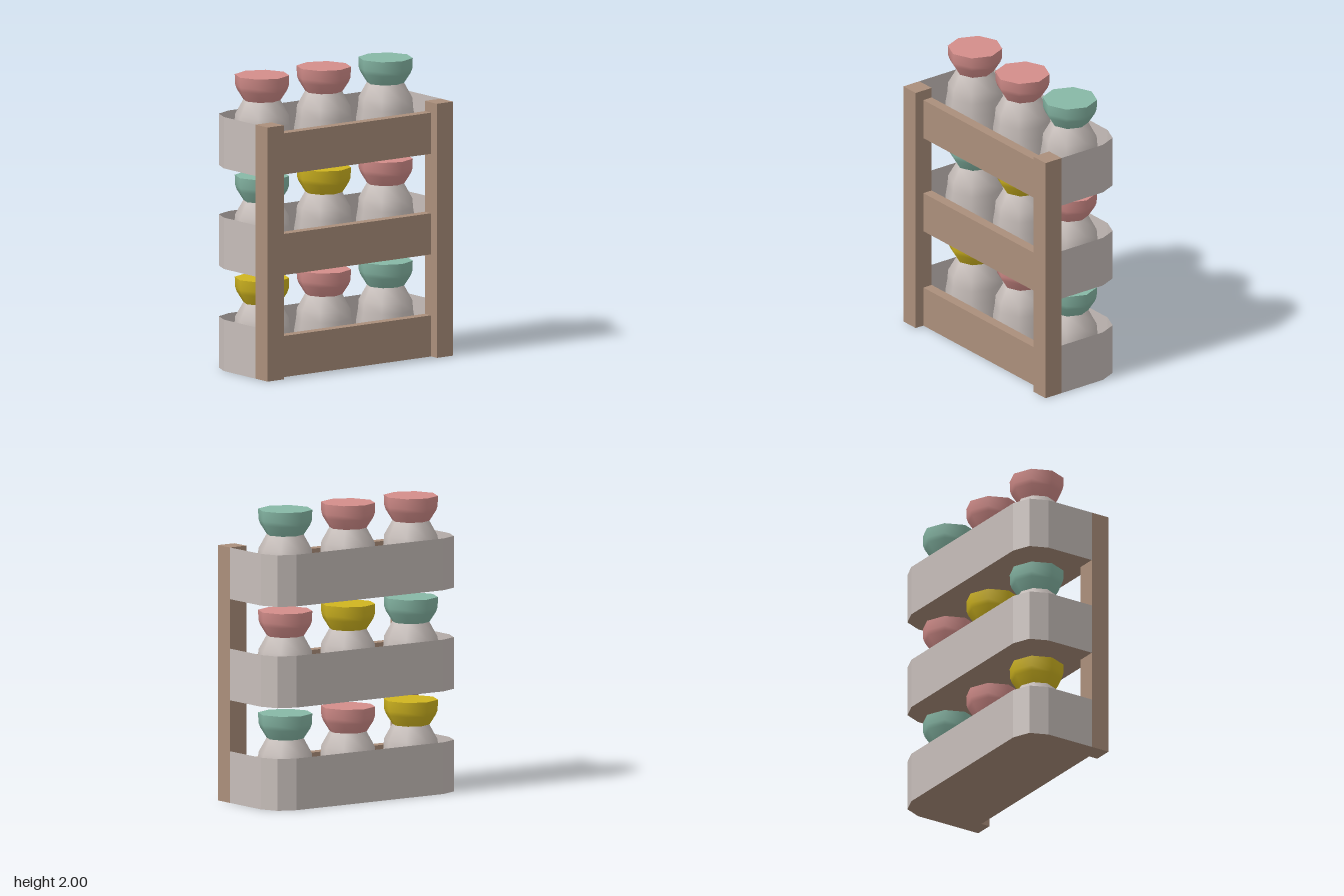
import * as THREE from 'three';
import { toCreasedNormals } from 'three/addons/utils/BufferGeometryUtils.js';

const mat = (name, color, side = THREE.FrontSide) => {
  const m = new THREE.MeshStandardMaterial({ color, side });
  m.name = name;
  return m;
};

export function createModel() {
  const group = new THREE.Group();
  const wood = mat('wood brown', 0xab8f7b, THREE.DoubleSide);
  const grey = mat('warm grey', 0xc6bdb9, THREE.DoubleSide);
  const pink = mat('dusty pink', 0xd48e8b);
  const teal = mat('soft teal', 0x87b8a6);
  const yellow = mat('mustard yellow', 0xd0b520);

  const add = (name, geometry, material, x = 0, y = 0, z = 0, parent = group) => {
    const mesh = new THREE.Mesh(geometry, material);
    mesh.name = name;
    mesh.position.set(x, y, z);
    parent.add(mesh);
    return mesh;
  };
  const lathe = (pts) => toCreasedNormals(
    new THREE.LatheGeometry(pts.map(([r, y]) => new THREE.Vector2(r, y)), 8), 0.9);

  // Shelf outline in x, z: open towards the posts, chamfered at the far corners
  const half = [[0.19, 0.78], [-0.16, 0.78], [-0.28, 0.73], [-0.33, 0.61]];
  const outline = [...half, ...half.map(([x, z]) => [x, -z]).reverse()];

  // Thin band standing on the outline
  const bandHeight = 0.35;
  const pos = [];
  for (let i = 0; i < outline.length - 1; i++) {
    const [ax, az] = outline[i], [bx, bz] = outline[i + 1];
    pos.push(ax, 0, az, bx, bandHeight, bz, bx, 0, bz);
    pos.push(ax, 0, az, ax, bandHeight, az, bx, bandHeight, bz);
  }
  const bandGeo = new THREE.BufferGeometry();
  bandGeo.setAttribute('position', new THREE.Float32BufferAttribute(pos, 3));
  bandGeo.computeVertexNormals();

  // Flat shelf floor
  const floorGeo = new THREE.ShapeGeometry(
    new THREE.Shape(outline.map(([x, z]) => new THREE.Vector2(x, -z))));
  floorGeo.rotateX(-Math.PI / 2);

  // Eight-sided jar and flared lid
  const jarGeo = lathe([[0.2, 0], [0.2, 0.2], [0.187, 0.28], [0.181, 0.35], [0.125, 0.45]]);
  const lidGeo = lathe([[0.125, 0.45], [0.17, 0.52], [0.181, 0.55], [0.184, 0.62], [0, 0.62]]);

  // Lid colours per shelf, ordered from +z to -z
  const shelves = [
    { y: 0, lids: [yellow, pink, teal] },
    { y: 0.695, lids: [teal, yellow, pink] },
    { y: 1.38, lids: [pink, pink, teal] },
  ];
  const railGeo = new THREE.BoxGeometry(0.07, 0.28, 1.29);
  for (const { y, lids } of shelves) {
    const shelf = new THREE.Group();
    shelf.name = 'shelf';
    shelf.position.y = y;
    group.add(shelf);
    add('shelfFloor', floorGeo, wood, 0, 0, 0, shelf);
    add('shelfBand', bandGeo, grey, 0, 0, 0, shelf);
    add('rail', railGeo, wood, 0.225, 0.14, 0, shelf);
    lids.forEach((lid, i) => {
      const z = 0.52 * (1 - i);
      add('jar', jarGeo, grey, -0.08, 0.002, z, shelf);
      add('lid', lidGeo, lid, -0.08, 0, z, shelf);
    });
  }

  // Two upright posts
  const postGeo = new THREE.BoxGeometry(0.135, 1.73, 0.135);
  for (const s of [1, -1]) add('post', postGeo, wood, 0.2575, 0.865, s * 0.7125);

  return group;
}
